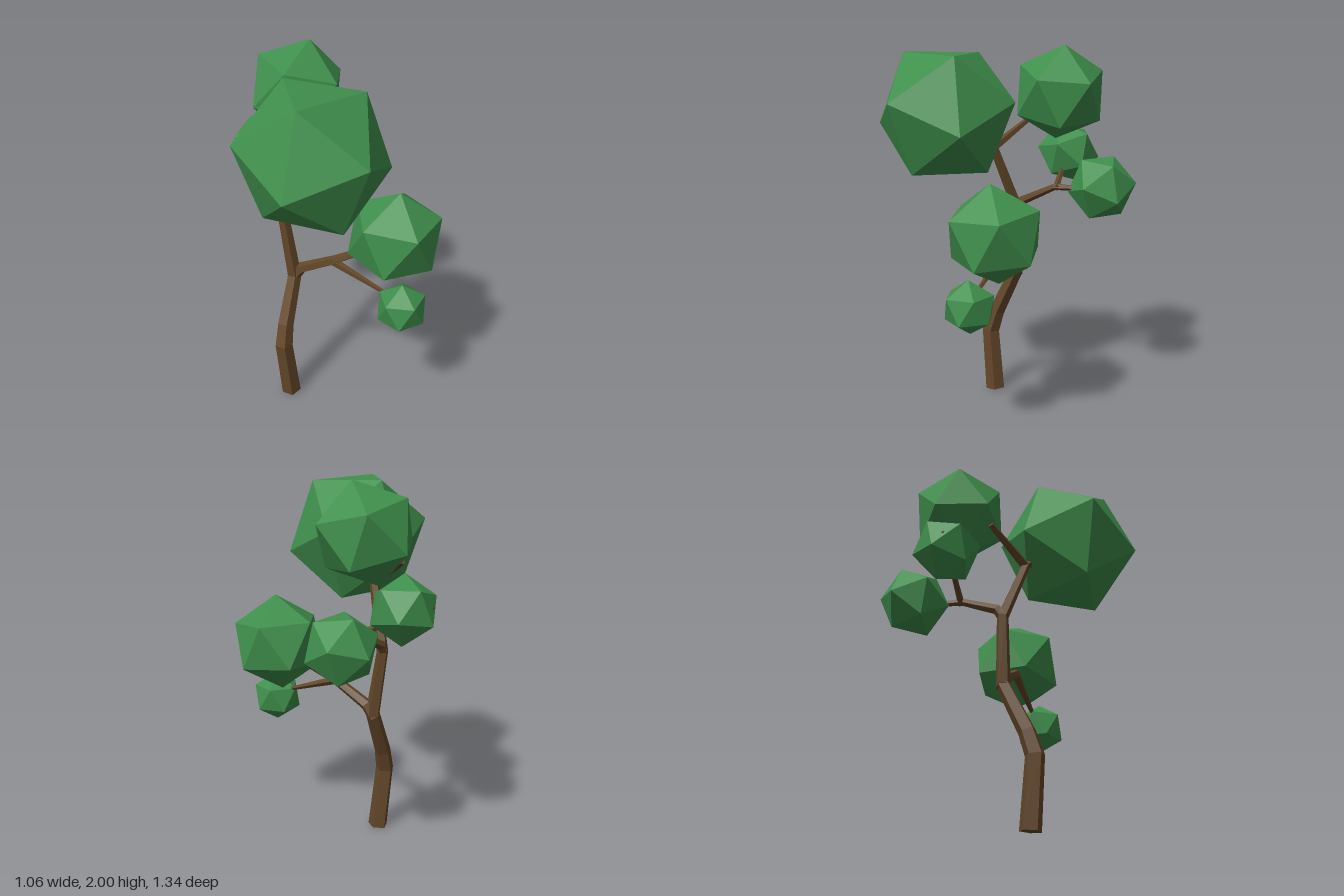
import * as THREE from 'three';

const bark = new THREE.MeshStandardMaterial({ color: 0x634729, flatShading: true });
const leaf = new THREE.MeshStandardMaterial({ color: 0x3f8f4c, flatShading: true });
const UP = new THREE.Vector3(0, 1, 0);
const SIDES = 5;

// Tapered five-sided limb along a polyline; each point is [x, y, z, radius]
function limb(name, points) {
  const path = points.map(([x, y, z]) => new THREE.Vector3(x, y, z));
  const last = path.length - 1;
  const pos = [], index = [];
  path.forEach((p, i) => {
    const dir = new THREE.Vector3();
    if (i > 0) dir.add(p.clone().sub(path[i - 1]).normalize());
    if (i < last) dir.add(path[i + 1].clone().sub(p).normalize());
    const q = new THREE.Quaternion().setFromUnitVectors(UP, dir.normalize());
    for (let k = 0; k < SIDES; k++) {
      const a = (k / SIDES) * Math.PI * 2;
      const v = new THREE.Vector3(Math.sin(a), 0, Math.cos(a))
        .multiplyScalar(points[i][3]).applyQuaternion(q).add(p);
      pos.push(v.x, Math.max(v.y, 0), v.z);
      if (i < last) {
        const b = i * SIDES + k, c = i * SIDES + (k + 1) % SIDES;
        index.push(b, c, c + SIDES, b, c + SIDES, b + SIDES);
      }
    }
  });
  // end caps
  for (let k = 1; k < SIDES - 1; k++) {
    const t = last * SIDES;
    index.push(0, k + 1, k, t, t + k, t + k + 1);
  }
  const geo = new THREE.BufferGeometry();
  geo.setAttribute('position', new THREE.Float32BufferAttribute(pos, 3));
  geo.setIndex(index);
  geo.computeVertexNormals();
  const mesh = new THREE.Mesh(geo, bark);
  mesh.name = name;
  return mesh;
}

// Icosahedral leaf clump, turned so that one of its edges runs from direction a to b
function clump(name, center, radius, a, b) {
  const va = new THREE.Vector3(...a).normalize();
  const vb = new THREE.Vector3(...b).normalize();
  const y = va.clone().add(vb).normalize();
  const x = vb.clone().sub(va).normalize();
  const z = x.clone().cross(y);
  const mesh = new THREE.Mesh(new THREE.IcosahedronGeometry(radius, 0), leaf);
  mesh.quaternion.setFromRotationMatrix(new THREE.Matrix4().makeBasis(x, y, z));
  mesh.position.set(...center);
  mesh.name = name;
  return mesh;
}

export function createModel() {
  const tree = new THREE.Group();
  tree.name = 'tree';

  // Trunk and branches
  tree.add(
    limb('trunk', [
      [-0.265, 0.003, 0.055, 0.056], [-0.3, 0.36, 0.072, 0.051], [-0.283, 0.48, 0.04, 0.046],
      [-0.215, 0.74, -0.06, 0.04], [-0.26, 1.1, -0.076, 0.032],
      [-0.22, 1.45, 0.065, 0.026], [-0.18, 1.58, 0.22, 0.02],
    ]),
    limb('topBranch', [[-0.22, 1.45, 0.065, 0.026], [-0.345, 1.59, -0.165, 0.016]]),
    limb('backBranch', [
      [-0.26, 1.1, -0.076, 0.03], [-0.25, 1.14, -0.1, 0.028],
      [-0.1, 1.24, -0.25, 0.02], [-0.02, 1.23, -0.45, 0.009],
    ]),
    limb('backTwig', [[-0.085, 1.235, -0.255, 0.019], [-0.462, 1.42, -0.445, 0.008]]),
    limb('leftBranch', [
      [-0.225, 0.72, -0.065, 0.036], [-0.18, 0.79, -0.045, 0.033],
      [-0.01, 0.9, 0.07, 0.026], [0.25, 1.03, 0.15, 0.014],
    ]),
    limb('leftTwig', [[-0.02, 0.895, 0.065, 0.024], [0.3, 0.755, 0.29, 0.008]]),
  );

  // Leaf clumps
  tree.add(
    clump('frontCrown', [-0.147, 1.653, 0.338], 0.386, [-0.11, 0.309, -0.2], [0.249, 0.3, -0.011]),
    clump('backCrown', [-0.147, 1.748, -0.288], 0.264, [0.068, 0.252, 0], [0.009, 0.117, -0.242]),
    clump('leftClump', [0.293, 1.086, 0.17], 0.264, [0.016, 0.262, 0.024], [0.063, 0.093, 0.24]),
    clump('lowClump', [0.314, 0.723, 0.307], 0.143, [-0.003, 0.143, 0.003], [0.13, 0.064, 0]),
    clump('backClump', [-0.025, 1.24, -0.497], 0.189, [-0.047, 0.16, -0.087], [0.072, 0.034, -0.178]),
    clump('rightClump', [-0.325, 1.4, -0.394], 0.177, [-0.13, -0.06, -0.105], [-0.163, 0.065, 0.032]),
  );
  return tree;
}
